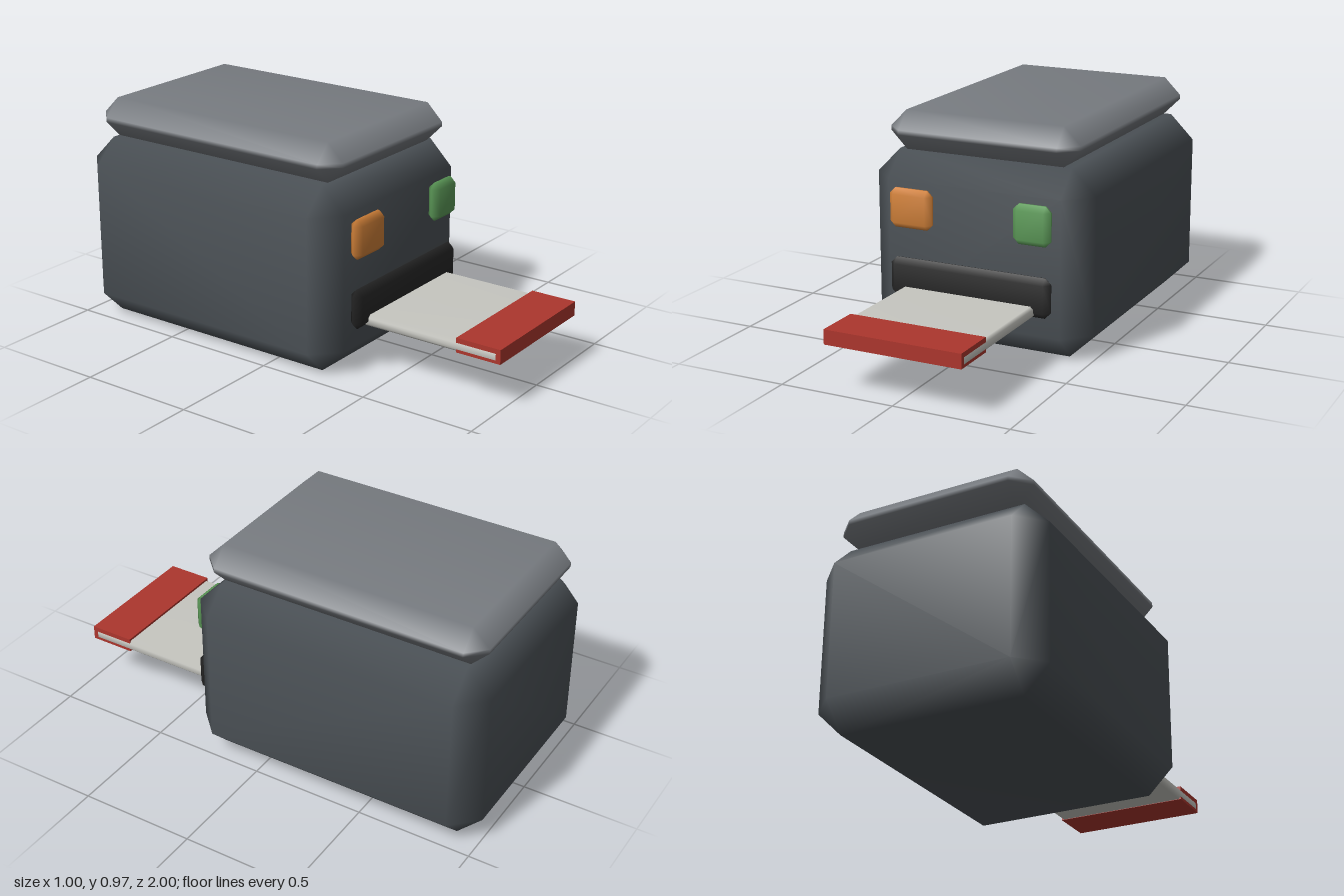
import * as THREE from 'three';
import { ConvexGeometry } from 'three/addons/geometries/ConvexGeometry.js';
import { mergeVertices } from 'three/addons/utils/BufferGeometryUtils.js';

const paint = (name, color) => new THREE.MeshStandardMaterial({ name, color });

// Box with every edge cut back by c, shaded smoothly across the bevels
function bevelBox([x0, x1], [y0, y1], [z0, z1], c) {
  const half = [(x1 - x0) / 2, (y1 - y0) / 2, (z1 - z0) / 2];
  const points = [];
  for (const sx of [-1, 1]) for (const sy of [-1, 1]) for (const sz of [-1, 1]) {
    for (let axis = 0; axis < 3; axis++) {
      const p = half.map((h, i) => (i === axis ? h : h - c));
      points.push(new THREE.Vector3(sx * p[0], sy * p[1], sz * p[2]));
    }
  }
  let geometry = new ConvexGeometry(points);
  geometry.deleteAttribute('normal');
  geometry = mergeVertices(geometry, 1e-5);
  geometry.computeVertexNormals();
  geometry.translate((x0 + x1) / 2, (y0 + y1) / 2, (z0 + z1) / 2);
  return geometry;
}

export function createModel() {
  const group = new THREE.Group();
  group.name = 'toasterShapedMachine';

  const bodyGrey = paint('dark grey', 0x4b5156);
  const lidGrey = paint('mid grey', 0x777b80);
  const black = paint('black', 0x252525);
  const orange = paint('orange', 0xd08038);
  const green = paint('green', 0x5c9a58);
  const white = paint('off white', 0xc6c6c0);
  const red = paint('red', 0xac362d);

  const add = (name, geometry, material) => {
    const mesh = new THREE.Mesh(geometry, material);
    mesh.name = name;
    group.add(mesh);
  };

  // Housing and lid
  add('body', bevelBox([-0.5, 0.5], [0, 0.8], [-1, 0.33], 0.108), bodyGrey);
  add('lid', bevelBox([-0.432, 0.432], [0.8, 0.968], [-0.965, 0.3], 0.074), lidGrey);

  // Front panel buttons and slot
  const panelZ = [0.328, 0.385];
  add('orangeButton', bevelBox([-0.366, -0.17], [0.5, 0.668], panelZ, 0.024), orange);
  add('greenButton', bevelBox([0.2, 0.365], [0.5, 0.668], panelZ, 0.024), green);
  add('slot', bevelBox([-0.366, 0.366], [0.2, 0.37], panelZ, 0.026), black);

  // Card sticking out of the slot, with its red end band
  add('card', bevelBox([-0.3, 0.3], [0.202, 0.252], [0.3, 0.99], 0.012), white);
  const band = new THREE.BoxGeometry(0.598, 0.062, 0.2);
  band.translate(0, 0.231, 0.9);
  add('cardBand', band, red);

  return group;
}
